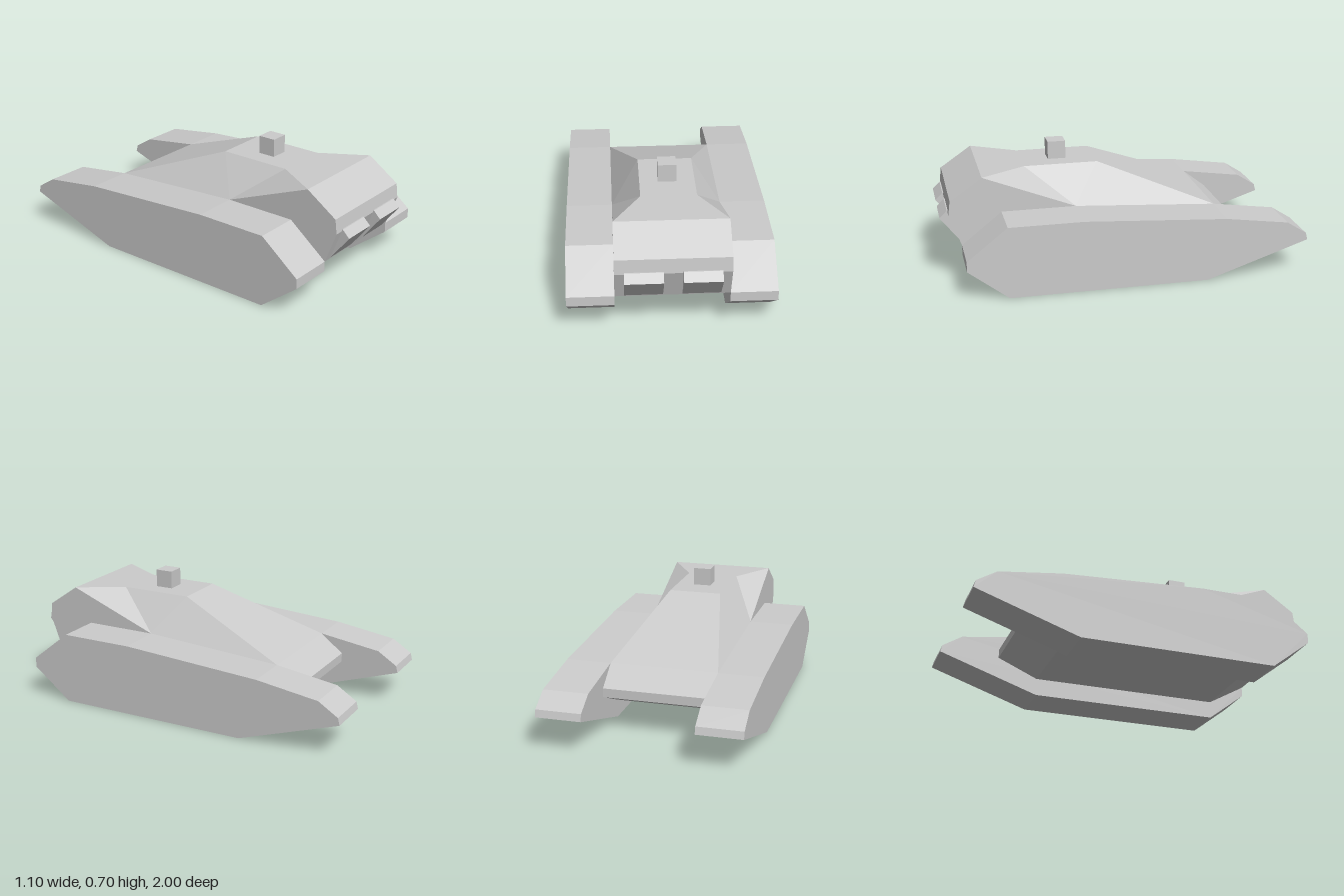
import * as THREE from 'three';

const material = new THREE.MeshStandardMaterial({ color: 0xcccccc, flatShading: true });

// Extrudes a side profile of [z, y] points across x, from x0 to x1
function profilePart(name, points, x0, x1) {
  const shape = new THREE.Shape(points.map(([z, y]) => new THREE.Vector2(z, y)));
  const geometry = new THREE.ExtrudeGeometry(shape, { depth: x1 - x0, bevelEnabled: false });
  geometry.rotateY(-Math.PI / 2).translate(x1, 0, 0);
  const mesh = new THREE.Mesh(geometry, material);
  mesh.name = name;
  return mesh;
}

// Hull: an outline swept across its width, closed by a deck with pinched, sloping flanks
function hullGeometry() {
  const w = 0.3, waist = 0.15;
  const outline = [
    [0.77, 0.6], [0.945, 0.48], [0.955, 0.4], [0.89, 0.225], [0.67, 0.1],
    [-0.43, 0.1], [-0.66, 0.2], [-0.66, 0.25], [-0.53, 0.35],
  ];
  const shoulder = [w, 0.4, 0.26];
  const deck = [[w, 0.6, 0.77], [waist, 0.6, 0.52], [waist, 0.6, 0.11], [w, 0.35, -0.53]];
  const positions = [];
  const mirror = ([x, y, z]) => [-x, y, z];
  const tri = (...corners) => corners.forEach((c) => positions.push(...c));
  const quad = (a, b, c, d) => { tri(a, b, c); tri(a, c, d); };
  const bothSides = (a, b, c) => { tri(a, b, c); tri(mirror(a), mirror(c), mirror(b)); };

  // nose, belly, tail and vertical sides
  for (let i = 0; i < outline.length - 1; i++) {
    const [a, b] = [outline[i], outline[i + 1]].map(([z, y]) => [w, y, z]);
    quad(mirror(a), mirror(b), b, a);
    bothSides(shoulder, a, b);
  }
  // deck
  for (let i = 0; i < deck.length - 1; i++) {
    quad(mirror(deck[i]), deck[i], deck[i + 1], mirror(deck[i + 1]));
  }
  // flanks between the deck and the track guards
  for (let i = 0; i < deck.length - 1; i++) bothSides(deck[i], shoulder, deck[i + 1]);

  const geometry = new THREE.BufferGeometry();
  geometry.setAttribute('position', new THREE.Float32BufferAttribute(positions, 3));
  geometry.computeVertexNormals();
  return geometry;
}

export function createModel() {
  const model = new THREE.Group();
  model.name = 'armouredVehicle';

  const hull = new THREE.Mesh(hullGeometry(), material);
  hull.name = 'hull';
  model.add(hull);

  // Tracks with their guards, and wedge-shaped front lamps
  const track = [
    [0.67, 0.4], [0.89, 0.225], [0.89, 0.17], [0.67, 0], [-0.43, 0],
    [-1, 0.19], [-0.99, 0.23], [-0.88, 0.3], [-0.53, 0.35], [0.26, 0.4],
  ];
  const lamp = [[0.95, 0.41], [0.89, 0.228], [1, 0.37], [0.96, 0.41]];
  model.add(
    profilePart('leftTrack', track, 0.3, 0.55),
    profilePart('rightTrack', track, -0.55, -0.3),
    profilePart('leftLamp', lamp, 0.05, 0.25),
    profilePart('rightLamp', lamp, -0.25, -0.05),
  );

  // Small sight block on the deck
  const sight = new THREE.Mesh(new THREE.BoxGeometry(0.1, 0.1, 0.1), material);
  sight.name = 'sight';
  sight.position.set(0, 0.65, 0.32);
  model.add(sight);

  return model;
}
